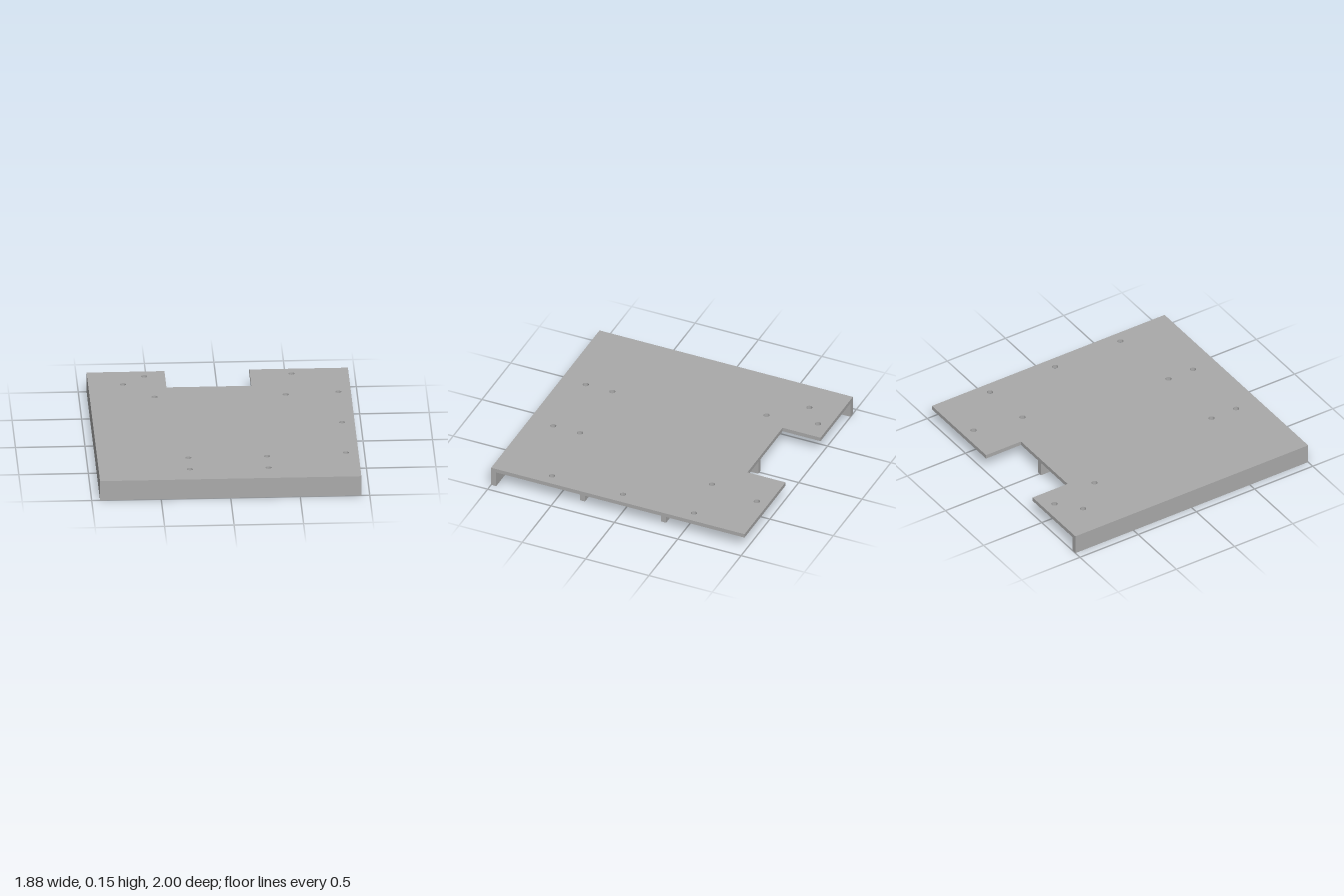
import * as THREE from 'three';
import { toCreasedNormals } from 'three/addons/utils/BufferGeometryUtils.js';

const TOP = 0.15, UNDER = 0.12, BOSS_BOTTOM = 0.05;
const W = 0.94, D = 1, WALL = 0.04;

// Plan outlines use [x, z]; extrusion goes up from y0 to y1
function extrudeUp(shape, y0, y1) {
  const g = new THREE.ExtrudeGeometry(shape, { depth: y1 - y0, bevelEnabled: false, curveSegments: 32 });
  g.rotateX(-Math.PI / 2).translate(0, y0, 0);
  return toCreasedNormals(g, 0.6);
}

function circlePath(x, z, r) {
  return new THREE.Path().absarc(x, -z, r, 0, Math.PI * 2, true);
}

export function createModel() {
  const group = new THREE.Group();
  const grey = new THREE.MeshStandardMaterial({ color: 0xaaaaaa });
  grey.name = 'grey';

  const add = (name, geometry) => {
    const mesh = new THREE.Mesh(geometry, grey);
    mesh.name = name;
    group.add(mesh);
    return mesh;
  };
  const addBox = (name, x0, x1, y0, y1, z0, z1) => {
    const mesh = add(name, new THREE.BoxGeometry(x1 - x0, y1 - y0, z1 - z0));
    mesh.position.set((x0 + x1) / 2, (y0 + y1) / 2, (z0 + z1) / 2);
  };

  // Screw positions: those with a boss underneath and plain ones
  const bossed = [
    [-0.285, 0.6], [0.28, 0.6], [-0.285, 0.81], [0.28, 0.81],
    [-0.475, -0.53], [0.47, -0.53], [-0.69, -0.77],
  ];
  const plain = [[-0.53, -0.91], [0.53, -0.91], [0.85, -0.56], [0.85, 0], [0.85, 0.56]];

  // Top plate with a notch in its back edge
  const outline = [
    [-W, D], [W, D], [W, -D], [0.23, -D], [0.23, -0.7], [-0.38, -0.7], [-0.38, -D], [-W, -D],
  ];
  const plate = new THREE.Shape(outline.map(([x, z]) => new THREE.Vector2(x, -z)));
  for (const [x, z] of [...bossed, ...plain]) plate.holes.push(circlePath(x, z, 0.022));
  add('topPlate', extrudeUp(plate, UNDER, TOP));

  // Skirt walls on the front and right sides
  addBox('frontWall', -W, W, 0, UNDER, D - WALL, D);
  addBox('rightWall', -W, -W + WALL, 0, UNDER, -D, D - WALL);

  // Stiffening ribs
  addBox('centreRib', -0.02, 0.02, 0, UNDER, -0.69, 0.91);
  for (const z of [-0.32, 0.32]) {
    addBox('crossRib', 0.02, 0.85, 0, UNDER, z - 0.02, z + 0.02);
    addBox('crossRib', -0.85, -0.02, 0, UNDER, z - 0.02, z + 0.02);
  }

  // Round bosses with a hexagonal nut pocket
  const ring = new THREE.Shape().absarc(0, 0, 0.094, 0, Math.PI * 2, false);
  const hexagon = [];
  for (let i = 0; i < 6; i++) {
    const a = -i * Math.PI / 3;
    hexagon.push(new THREE.Vector2(0.045 * Math.cos(a), 0.045 * Math.sin(a)));
  }
  ring.holes.push(new THREE.Path(hexagon));
  const bossGeometry = extrudeUp(ring, BOSS_BOTTOM, UNDER);
  for (const [x, z] of bossed) add('nutBoss', bossGeometry).position.set(x, 0, z);

  return group;
}
